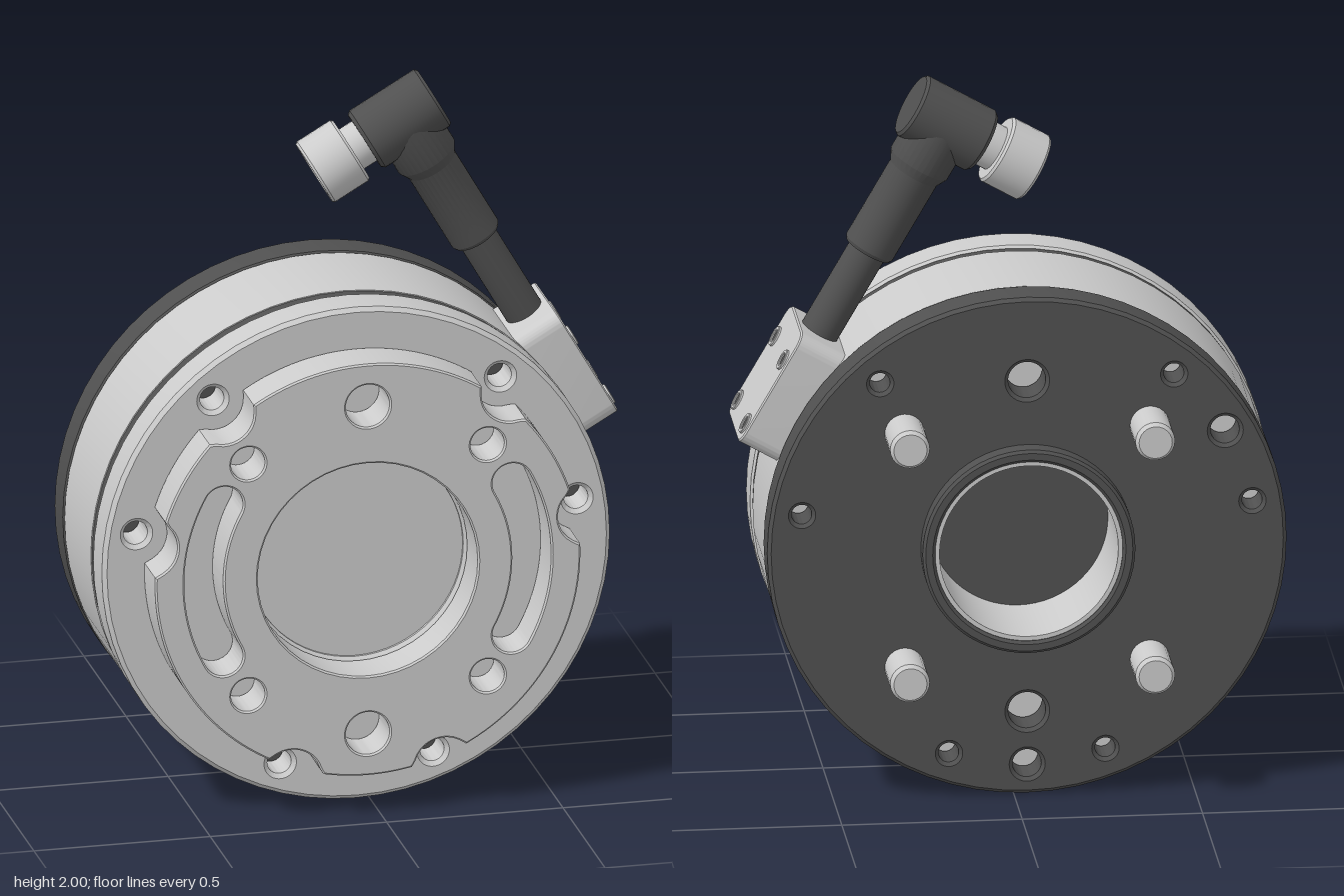
import * as THREE from 'three';
import { toCreasedNormals } from 'three/addons/utils/BufferGeometryUtils.js';

const CX = -0.037, CY = 0.72, R = 0.72;
const RIM = [10, 50, 130, 170, 250, 290]; // angles of the rim screw holes
const RIM_R = 0.634;
const rad = THREE.MathUtils.degToRad;

const grey = new THREE.MeshStandardMaterial({ color: 0xcccccc });
const dark = new THREE.MeshStandardMaterial({ color: 0x505050 });

function mesh(parent, name, geo, mat) {
  const m = new THREE.Mesh(toCreasedNormals(geo, 0.5), mat);
  m.name = name;
  parent.add(m);
  return m;
}

function circle(r, x = 0, y = 0, Type = THREE.Path) {
  const p = new Type();
  p.absarc(x, y, r, 0, Math.PI * 2, false);
  return p;
}
const disc = (r) => circle(r, 0, 0, THREE.Shape);

function polarHole(r, dist, deg) {
  return circle(r, dist * Math.cos(rad(deg)), dist * Math.sin(rad(deg)));
}

// Plate between z0 and z1 with chamfered edges and holes
function plate(shape, holes, z0, z1, bevel = 0, curveSegments = 32) {
  shape.holes.push(...holes);
  const geo = new THREE.ExtrudeGeometry(shape, {
    depth: z1 - z0 - 2 * bevel, curveSegments, bevelEnabled: bevel > 0,
    bevelThickness: bevel, bevelSize: bevel, bevelOffset: -bevel, bevelSegments: 1,
  });
  return geo.translate(0, 0, z0 + bevel);
}

// Kidney slot following an arc
function kidney(mid, half, spanDeg, centreDeg) {
  const a0 = rad(centreDeg - spanDeg), a1 = rad(centreDeg + spanDeg), p = new THREE.Path();
  p.absarc(0, 0, mid + half, a0, a1, false);
  p.absarc(mid * Math.cos(a1), mid * Math.sin(a1), half, a1, a1 + Math.PI, false);
  p.absarc(0, 0, mid - half, a1, a0, true);
  p.absarc(mid * Math.cos(a0), mid * Math.sin(a0), half, a0 + Math.PI, a0 + 2 * Math.PI, false);
  return p;
}

// Round outline with a scallop around each rim hole
function scallopedShape(radius, scallop) {
  const pts = [];
  for (let i = 0; i < 300; i++) {
    const a = (i / 300) * Math.PI * 2;
    let r = radius;
    for (const deg of RIM) {
      const d = a - rad(deg), s = scallop ** 2 - (RIM_R * Math.sin(d)) ** 2;
      if (Math.cos(d) > 0 && s > 0) r = Math.min(r, RIM_R * Math.cos(d) - Math.sqrt(s));
    }
    pts.push(new THREE.Vector2(r * Math.cos(a), r * Math.sin(a)));
  }
  return new THREE.Shape(pts);
}

// Solid of revolution about y from [radius, height] pairs
function turned(profile, segments = 32) {
  return new THREE.LatheGeometry(profile.map(([r, y]) => new THREE.Vector2(r, y)), segments);
}

function buildBody(root) {
  const body = new THREE.Group();
  body.name = 'body';
  body.position.set(CX, CY, 0);
  root.add(body);
  const rimHoles = (r) => RIM.map((a) => polarHole(r, RIM_R, a));

  // Stacked housing
  mesh(body, 'housing', plate(disc(R - 0.003), [circle(0.25)], -0.165, 0.145), grey);
  mesh(body, 'sealBand', plate(disc(R - 0.006), [circle(0.3)], 0.145, 0.175), dark);
  mesh(body, 'frontFlange', plate(disc(R), [circle(0.305), ...rimHoles(0.034)], 0.175, 0.3, 0.012), grey);
  mesh(body, 'frontFloor', plate(disc(0.31), [], 0.18, 0.28), grey);

  // Raised front boss with bolt holes and kidney slots
  const bossHoles = [
    circle(0.312),
    ...[45, 135, 225, 315].map((a) => polarHole(0.048, 0.48, a)),
    ...[90, 270].map((a) => polarHole(0.062, 0.48, a)),
    ...[0, 180].map((a) => kidney(0.465, 0.055, 28.5, a)),
  ];
  mesh(body, 'frontBoss', plate(scallopedShape(0.603, 0.085), bossHoles, 0.3, 0.435, 0.005, 24), grey);

  // Rear plate, hub and bore
  const rearHoles = [
    circle(0.262), ...rimHoles(0.028),
    ...[90, 270].map((a) => polarHole(0.052, 0.48, a)),
    ...[150, 270].map((a) => polarHole(0.04, RIM_R, a)),
  ];
  mesh(body, 'rearPlate', plate(disc(R), rearHoles, -0.28, -0.165, 0.01), dark);
  mesh(body, 'rearHub', plate(disc(0.295), [circle(0.26)], -0.336, -0.27, 0.008), dark);
  mesh(body, 'boreLining', plate(disc(0.263), [circle(0.248)], -0.325, -0.04), grey);
  mesh(body, 'rearFloor', plate(disc(0.256), [], -0.05, 0), dark);

  // Locating pins
  for (const x of [-0.34, 0.34]) for (const y of [-0.34, 0.34]) {
    const pin = mesh(body, 'locatingPin',
      turned([[0.055, 0], [0.055, 0.145], [0.046, 0.157], [0, 0.157]], 24), grey);
    pin.rotation.x = -Math.PI / 2;
    pin.position.set(x, y, -0.278);
  }
}

// Local x points outward from the housing, local y runs along the cable
function buildConnector(root) {
  const con = new THREE.Group();
  con.name = 'connector';
  con.position.set(CX, CY, -0.015);
  con.rotation.z = rad(30);
  root.add(con);

  // Mounting block with rounded corners
  const w = 0.15, lo = -0.147, hi = 0.208, r = 0.04, s = new THREE.Shape();
  s.absarc(w - r, lo + r, r, -Math.PI / 2, 0, false);
  s.absarc(w - r, hi - r, r, 0, Math.PI / 2, false);
  s.absarc(-w + r, hi - r, r, Math.PI / 2, Math.PI, false);
  s.absarc(-w + r, lo + r, r, Math.PI, Math.PI * 1.5, false);
  mesh(con, 'mountingBlock', plate(s, [], 0.66, 0.825, 0.004, 8).rotateY(Math.PI / 2), grey);

  // Socket screws
  for (const y of [-0.097, 0.112]) for (const z of [-0.103, 0.103]) {
    const ring = plate(disc(0.03), [circle(0.018)], 0.815, 0.832, 0.002, 10);
    mesh(con, 'screwHead', ring.rotateY(Math.PI / 2), grey).position.set(0, y, z);
    const socket = new THREE.CylinderGeometry(0.019, 0.019, 0.01, 6).rotateZ(Math.PI / 2);
    mesh(con, 'screwSocket', socket, dark).position.set(0.822, y, z);
  }

  // Cable, strain relief and elbow stem
  const cable = mesh(con, 'cable', turned([
    [0, 0.18], [0.055, 0.18], [0.055, 0.475], [0.068, 0.475], [0.074, 0.485],
    [0.074, 0.73], [0.09, 0.76], [0.09, 0.9], [0, 0.9],
  ]), dark);
  cable.position.x = 0.753;

  // Elbow head, along the inward direction
  const head = new THREE.Group();
  head.name = 'elbowHead';
  head.position.y = 0.897;
  head.rotation.z = -Math.PI / 2; // local y becomes outward
  con.add(head);
  mesh(head, 'elbowBarrel', turned([
    [0, 0.63], [0.085, 0.63], [0.093, 0.64], [0.093, 0.85], [0.086, 0.858], [0, 0.858],
  ]), dark);
  mesh(head, 'neck', turned([[0.065, 0.57], [0.065, 0.635]]), grey);
  mesh(head, 'couplingNut', turned([
    [0, 0.52], [0.074, 0.52], [0.074, 0.465], [0.094, 0.465], [0.099, 0.472],
    [0.099, 0.58], [0.093, 0.587], [0, 0.587],
  ]), grey);
  mesh(head, 'plugInsert', turned([[0, 0.49], [0.05, 0.49], [0.05, 0.525]]), dark);
}

export function createModel() {
  const root = new THREE.Group();
  root.name = 'flangeCoupling';
  buildBody(root);
  buildConnector(root);
  return root;
}
